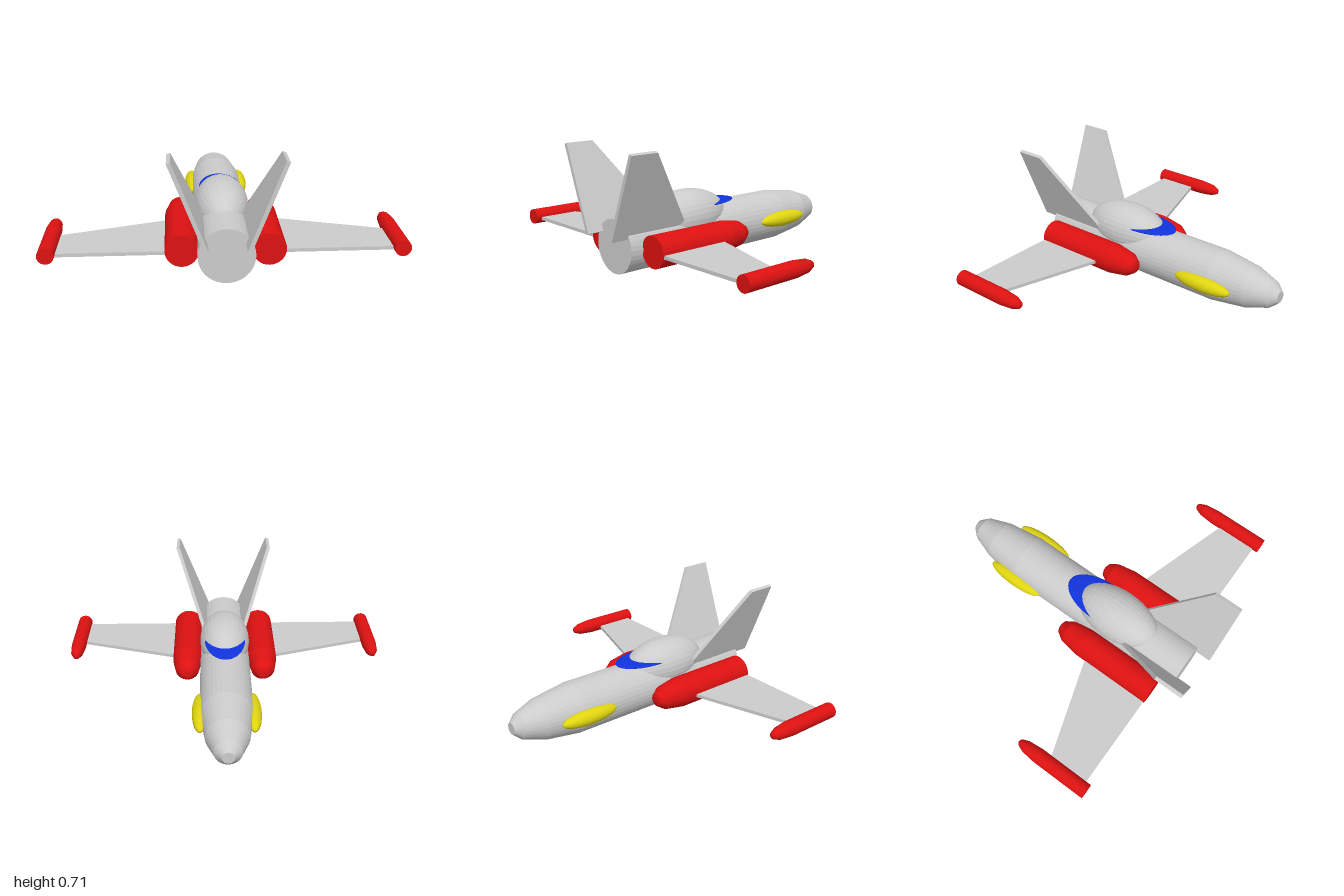
import * as THREE from 'three';

const paint = (color) => new THREE.MeshStandardMaterial({ color, flatShading: true });
const AXIS_Y = 0.157; // height of the fuselage axis

export function createModel() {
  const model = new THREE.Group();
  model.name = 'jet';
  const grey = paint(0xcccccc), red = paint(0xdd1111), yellow = paint(0xe0d510), blue = paint(0x1133dd);

  function add(name, geometry, material, x = 0, y = 0, z = 0) {
    const mesh = new THREE.Mesh(geometry, material);
    mesh.name = name;
    mesh.position.set(x, y, z);
    model.add(mesh);
    return mesh;
  }

  // Round body along z, from [radius, z] pairs listed tail to nose
  function turned(profile, sides) {
    const points = profile.map(([r, z]) => new THREE.Vector2(r, -z));
    return new THREE.LatheGeometry(points, sides).rotateX(-Math.PI / 2);
  }

  const ellipsoid = (rx, ry, rz) =>
    new THREE.SphereGeometry(1, 32, 20).rotateX(Math.PI / 2).scale(rx, ry, rz);

  // Flat plate from a 2D outline
  function plate(outline, depth) {
    const shape = new THREE.Shape(outline.map(([a, b]) => new THREE.Vector2(a, b)));
    return new THREE.ExtrudeGeometry(shape, { depth, bevelEnabled: false });
  }

  // Fuselage with a tapered, blunt nose
  add('fuselage', turned([
    [0, 0.76], [0.155, 0.76], [0.155, -0.45], [0.125, -0.67], [0.078, -0.805], [0.035, -0.853], [0, -0.853],
  ], 36), grey, 0, AXIS_Y);

  // Canopy and the thin windscreen blade in front of it
  add('canopy', ellipsoid(0.155, 0.155, 0.282), grey, 0, 0.257, 0.25);
  add('windscreen', ellipsoid(0.126, 0.015, 0.252), blue, 0, 0.319, 0.145);

  for (const s of [1, -1]) {
    const side = s > 0 ? 'left' : 'right';

    // Engine beside the fuselage
    add(side + 'Engine', turned([
      [0, 0.68], [0.092, 0.68], [0.092, 0.17], [0.072, 0.05], [0.04, 0.0], [0.02, -0.008], [0, -0.008],
    ], 32), red, s * 0.236, AXIS_Y);

    // Swept wing
    const wing = plate([[s * 0.2, 0.2], [s * 0.95, 0.438], [s * 0.95, 0.675], [s * 0.2, 0.675]], 0.02);
    add(side + 'Wing', wing.rotateX(Math.PI / 2), grey, 0, 0.156);

    // Wing tip pod
    add(side + 'TipPod', turned([
      [0, 0.71], [0.046, 0.71], [0.046, 0.36], [0.037, 0.27], [0.02, 0.228], [0.009, 0.22], [0, 0.22],
    ], 24), red, s * 0.953, AXIS_Y);

    // Bulge on the side of the nose
    add(side + 'NoseBulge', ellipsoid(0.047, 0.047, 0.188), yellow, s * 0.153, AXIS_Y, -0.425);

    // Tail fin, leaning outward
    const fin = plate([[-0.86, 0], [-0.34, 0], [-0.69, 0.519], [-0.86, 0.519]], 0.022);
    fin.translate(0, 0, -0.011).rotateY(Math.PI / 2);
    add(side + 'TailFin', fin, grey, s * 0.11, 0.222).rotation.z = -s * 0.37;
  }

  return model;
}
